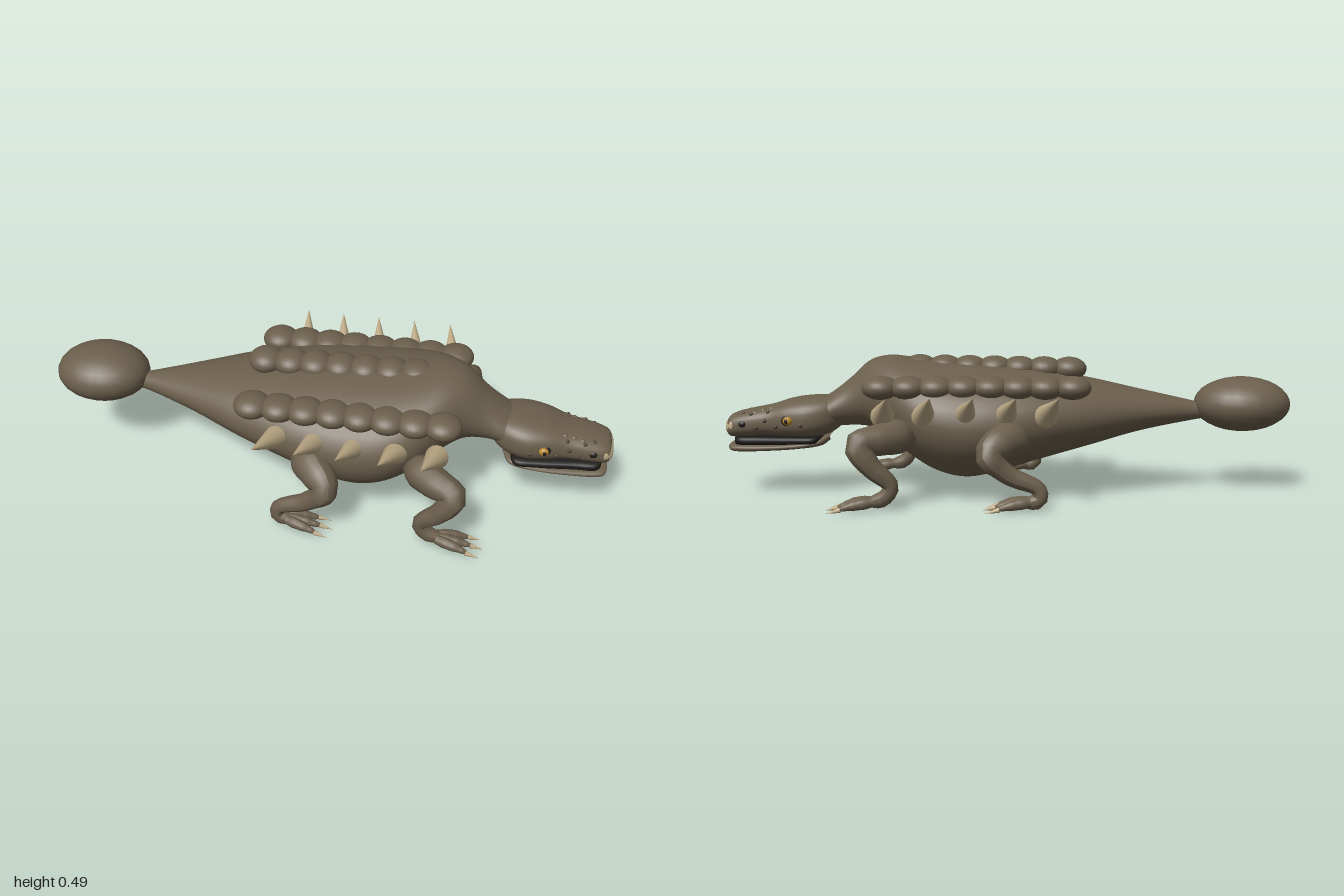
import * as THREE from 'three';

const mat = (name, color) => {
  const m = new THREE.MeshStandardMaterial({ color });
  m.name = name;
  return m;
};

export function createModel() {
  const root = new THREE.Group();
  root.name = 'armouredReptile';
  const hide = mat('hide', 0x6b5f4c);
  const horn = mat('horn', 0xbfac88);
  const amber = mat('amber', 0xb8862c);
  const dark = mat('dark', 0x1c1a18);
  const wartMat = mat('wart', 0x40382d);

  const add = (name, geo, material, parent = root) => {
    const m = new THREE.Mesh(geo, material);
    m.name = name;
    parent.add(m);
    return m;
  };

  // Ellipsoid at a centre with three radii
  const ball = (name, c, r, material, parent = root) => {
    const m = add(name, new THREE.SphereGeometry(1, 24, 16), material, parent);
    m.position.set(...c);
    m.scale.set(...r);
    return m;
  };

  // Loft along x through sections [x, bottom, top, halfWidth]; power squares the section
  const loft = (name, sections, material, power = 2, steps = 6, parent = root) => {
    const V = THREE.Vector3, n = (sections.length - 1) * steps, k = 40;
    const curve = (f) => new THREE.CatmullRomCurve3(sections.map(f), false, 'catmullrom', 0.5);
    const spine = curve((s) => new V(s[0], s[1], s[2]));
    const width = curve((s) => new V(s[0], s[3], 0));
    const pos = [], idx = [];
    const sq = (v) => Math.sign(v) * Math.abs(v) ** (2 / power);
    for (let i = 0; i <= n; i++) {
      const p = spine.getPoint(i / n), w = Math.max(0.002, width.getPoint(i / n).y);
      for (let j = 0; j < k; j++) {
        const a = (j / k) * Math.PI * 2;
        pos.push(p.x, (p.y + p.z) / 2 + ((p.z - p.y) / 2) * sq(Math.cos(a)), w * sq(Math.sin(a)));
        if (i < n) {
          const A = i * k + j, C = i * k + ((j + 1) % k);
          idx.push(A, C, A + k, C, C + k, A + k);
        }
      }
    }
    const g = new THREE.BufferGeometry();
    g.setAttribute('position', new THREE.Float32BufferAttribute(pos, 3));
    g.setIndex(idx);
    g.computeVertexNormals();
    return add(name, g, material, parent);
  };

  // Tube whose radius follows a list spaced evenly along its length
  const limb = (name, pts, radii, material, parent) => {
    const path = new THREE.CatmullRomCurve3(pts.map((p) => new THREE.Vector3(...p)));
    const n = 32, sides = 14;
    const g = new THREE.TubeGeometry(path, n, 1, sides);
    const v = new THREE.Vector3();
    for (let i = 0; i <= n; i++) {
      const c = path.getPointAt(i / n);
      const t = (i / n) * (radii.length - 1), q = Math.min(Math.floor(t), radii.length - 2);
      const r = THREE.MathUtils.lerp(radii[q], radii[q + 1], THREE.MathUtils.smoothstep(t - q, 0, 1));
      for (let j = 0; j <= sides; j++) {
        const id = i * (sides + 1) + j;
        v.fromBufferAttribute(g.attributes.position, id).sub(c).multiplyScalar(r).add(c);
        g.attributes.position.setXYZ(id, v.x, v.y, v.z);
      }
    }
    g.computeVertexNormals();
    return add(name, g, material, parent);
  };

  // Cone from a base point to a tip
  const spike = (name, base, tip, r, material, parent) => {
    const a = new THREE.Vector3(...base), b = new THREE.Vector3(...tip), d = b.clone().sub(a);
    const m = add(name, new THREE.ConeGeometry(r, d.length(), 16), material, parent);
    m.position.copy(a).addScaledVector(d, 0.5);
    m.quaternion.setFromUnitVectors(new THREE.Vector3(0, 1, 0), d.normalize());
    return m;
  };

  // Tail, trunk and neck in one skin
  loft('body', [
    [-0.7, 0.265, 0.315, 0.03], [-0.64, 0.255, 0.33, 0.045], [-0.46, 0.22, 0.37, 0.125],
    [-0.28, 0.17, 0.41, 0.21], [-0.1, 0.12, 0.44, 0.275], [0.04, 0.078, 0.455, 0.305],
    [0.15, 0.06, 0.463, 0.312], [0.25, 0.083, 0.47, 0.3], [0.34, 0.135, 0.481, 0.26],
    [0.42, 0.2, 0.489, 0.195], [0.49, 0.235, 0.47, 0.135], [0.56, 0.24, 0.408, 0.104],
    [0.63, 0.235, 0.355, 0.1], [0.7, 0.23, 0.32, 0.09],
  ], hide);
  ball('tailClub', [-0.83, 0.315, 0], [0.17, 0.097, 0.142], hide);

  // Back armour: a middle row and two side rows
  for (let i = 0; i < 7; i++)
    ball('middlePlate', [-0.215 + i * 0.088, 0.44 + i * 0.0015, 0], [0.062, 0.042, 0.065], hide);
  for (const s of [1, -1])
    for (let i = 0; i < 8; i++)
      ball('sidePlate', [-0.215 + i * 0.092, 0.395, s * 0.215], [0.064, 0.04, 0.066], hide);

  for (const s of [1, -1]) {
    const side = s > 0 ? 'left' : 'right';

    // Flank spikes
    for (let i = 0; i < 5; i++) {
      const x = -0.16 + i * 0.136;
      spike(side + 'Spike', [x + 0.035, 0.305, s * 0.262], [x, 0.387, s * 0.447], 0.04, horn);
    }

    // Legs
    const leg = (name, pts, radii, foot) => {
      const g = new THREE.Group();
      g.name = side + name;
      root.add(g);
      limb('limb', pts.map(([x, y, z]) => [x, y, z * s]), radii, hide, g);
      const [fx, fz] = foot;
      for (const d of [-1, 0, 1]) {
        const z = s * (fz + d * 0.04), tx = fx + 0.105 - Math.abs(d) * 0.012;
        limb('toe', [[fx - 0.02, 0.035, s * (fz + d * 0.012)], [fx + 0.05, 0.026, s * (fz + d * 0.032)],
          [tx, 0.014, z]], [0.016, 0.019, 0.017, 0.011, 0.004], hide, g);
        spike('claw', [tx - 0.012, 0.016, z], [tx + 0.035, 0.005, z + s * d * 0.005], 0.009, horn, g);
      }
    };
    leg('FrontLeg', [[0.33, 0.24, 0.22], [0.41, 0.235, 0.3], [0.49, 0.222, 0.355], [0.45, 0.155, 0.362],
      [0.385, 0.085, 0.348], [0.41, 0.045, 0.348], [0.48, 0.03, 0.35]],
    [0.04, 0.06, 0.054, 0.046, 0.04, 0.033, 0.027, 0.026, 0.012], [0.465, 0.35]);
    leg('HindLeg', [[-0.04, 0.23, 0.23], [0.02, 0.225, 0.31], [0.065, 0.19, 0.365], [0.0, 0.125, 0.358],
      [-0.1, 0.075, 0.35], [-0.1, 0.04, 0.35], [-0.03, 0.028, 0.35]],
    [0.05, 0.066, 0.058, 0.044, 0.034, 0.03, 0.026, 0.026, 0.012], [-0.05, 0.35]);
  }

  // Head: skull, lower jaw, dark mouth and pale beak
  const head = new THREE.Group();
  head.name = 'head';
  root.add(head);
  loft('skull', [
    [0.58, 0.25, 0.33, 0.06], [0.63, 0.215, 0.345, 0.104], [0.7, 0.198, 0.345, 0.124],
    [0.77, 0.2, 0.335, 0.115], [0.84, 0.204, 0.314, 0.094], [0.91, 0.202, 0.3, 0.088],
    [0.97, 0.2, 0.285, 0.078], [0.99, 0.208, 0.268, 0.06], [0.994, 0.235, 0.24, 0.003],
  ], hide, 2.6, 6, head);
  loft('lowerJaw', [
    [0.63, 0.195, 0.21, 0.05], [0.66, 0.172, 0.205, 0.1], [0.75, 0.16, 0.189, 0.105],
    [0.87, 0.152, 0.183, 0.096], [0.96, 0.15, 0.183, 0.083], [0.985, 0.158, 0.18, 0.06],
    [0.99, 0.168, 0.172, 0.003],
  ], hide, 2.6, 6, head);
  loft('mouth', [
    [0.65, 0.19, 0.2, 0.01], [0.67, 0.178, 0.214, 0.105], [0.75, 0.176, 0.214, 0.107],
    [0.87, 0.172, 0.212, 0.088], [0.955, 0.172, 0.21, 0.074], [0.97, 0.185, 0.2, 0.003],
  ], dark, 3, 6, head);
  loft('beak', [
    [0.945, 0.222, 0.25, 0.06], [0.965, 0.212, 0.278, 0.079], [0.988, 0.212, 0.268, 0.068],
    [0.998, 0.22, 0.255, 0.045], [1.0, 0.235, 0.24, 0.003],
  ], horn, 2.6, 6, head);

  // Eyes, nostrils, brow bumps and warts
  for (const s of [1, -1]) {
    ball('eyeSocket', [0.765, 0.268, s * 0.107], [0.024, 0.02, 0.014], dark, head);
    ball('eye', [0.765, 0.268, s * 0.117], [0.017, 0.015, 0.014], amber, head);
    ball('pupil', [0.768, 0.268, s * 0.129], [0.006, 0.009, 0.004], dark, head);
    ball('nostril', [0.93, 0.252, s * 0.083], [0.014, 0.011, 0.007], dark, head);
    for (const [x, y, z] of [[0.8, 0.316, 0.06], [0.83, 0.308, 0.063], [0.86, 0.302, 0.06], [0.89, 0.294, 0.062]])
      ball('browBump', [x, y - 0.006, s * z], [0.011, 0.01, 0.009], hide, head);
    for (const [x, y, z] of [[0.72, 0.252, 0.121], [0.81, 0.245, 0.103], [0.85, 0.265, 0.092],
      [0.88, 0.24, 0.09], [0.84, 0.294, 0.08], [0.9, 0.285, 0.074], [0.93, 0.286, 0.056]])
      ball('wart', [x, y, s * z], [0.007, 0.007, 0.006], wartMat, head);
  }
  return root;
}
